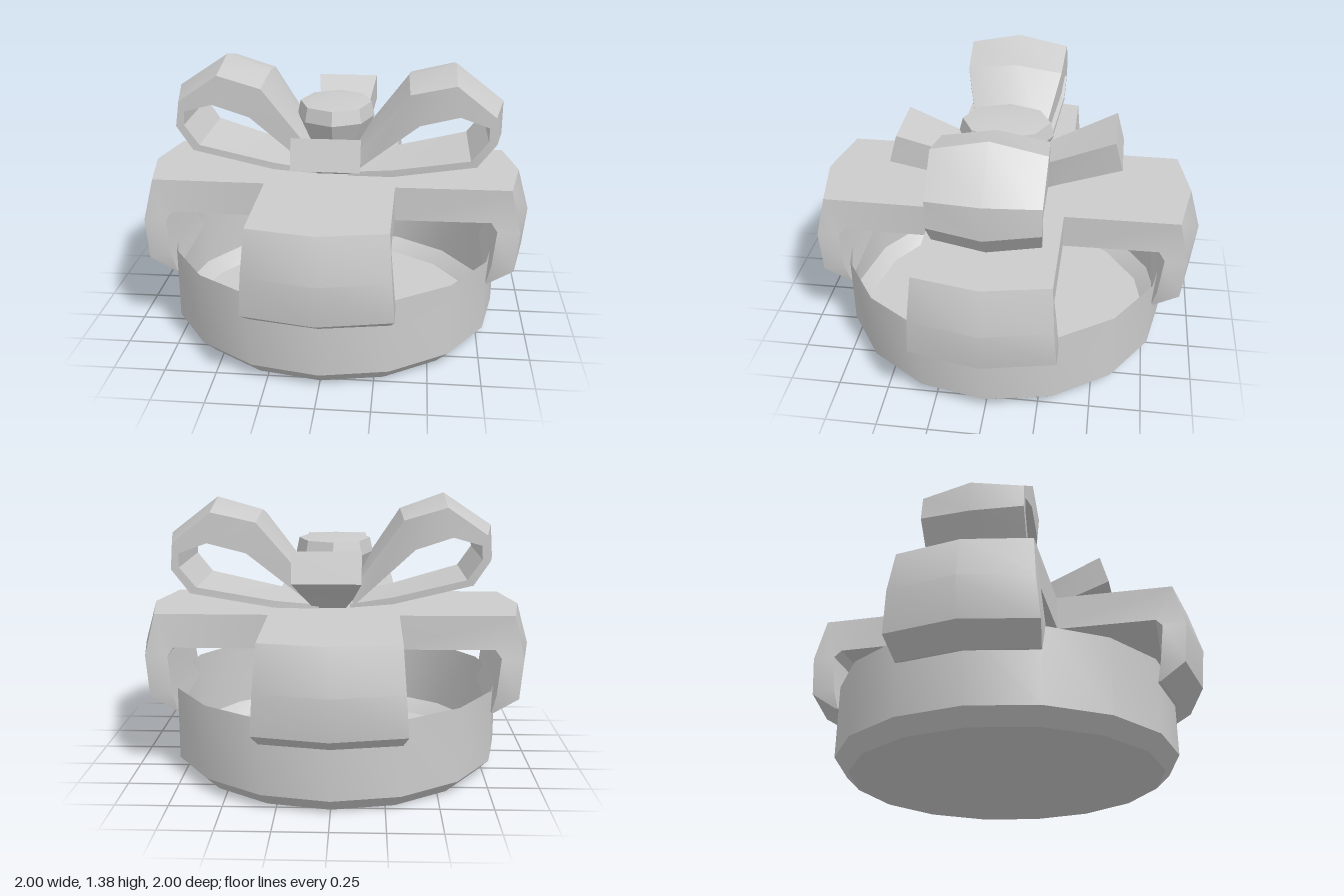
import * as THREE from 'three';
import { toCreasedNormals } from 'three/addons/utils/BufferGeometryUtils.js';

const material = new THREE.MeshStandardMaterial({ color: 0xcccccc, side: THREE.DoubleSide });

// Solid strap swept through stations [edgeX, edgeY, crownX, crownY, innerX, innerY, halfWidth]
function strap(stations) {
  const pos = [], index = [];
  for (const [ex, ey, cx, cy, ix, iy, w] of stations) {
    pos.push(ex, ey, w, cx, cy, 0, ex, ey, -w, ix, iy, -w, ix, iy, w);
  }
  const n = 5, last = (stations.length - 1) * n;
  for (let s = 0; s < last; s += n) {
    for (let i = 0; i < n; i++) {
      const j = (i + 1) % n;
      index.push(s + i, s + n + i, s + n + j, s + i, s + n + j, s + j);
    }
  }
  for (let i = 1; i < n - 1; i++) {
    index.push(0, i, i + 1, last, last + i + 1, last + i);
  }
  const geo = new THREE.BufferGeometry();
  geo.setAttribute('position', new THREE.Float32BufferAttribute(pos, 3));
  geo.setIndex(index);
  return toCreasedNormals(geo, 0.45);
}

function lathe(profile, sides, crease) {
  const points = profile.map(([r, y]) => new THREE.Vector2(r, y));
  return toCreasedNormals(new THREE.LatheGeometry(points, sides), crease);
}

export function createModel() {
  const model = new THREE.Group();
  const add = (name, geometry) => {
    const mesh = new THREE.Mesh(geometry, material);
    mesh.name = name;
    model.add(mesh);
    return mesh;
  };

  // Open round tub with a bevelled foot
  add('tub', lathe([[0, 0], [0.77, 0], [0.84, 0.07], [0.84, 0.435]], 16, 0.6));

  // Crossed wide ribbon: flat centre and four folded arms
  add('ribbonCentre', new THREE.BoxGeometry(0.64, 0.17, 0.64)).position.y = 0.725;
  const arm = strap([
    [0.32, 0.81, 0.32, 0.81, 0.32, 0.64, 0.32],
    [0.88, 0.81, 0.94, 0.81, 0.79, 0.64, 0.315],
    [0.93, 0.6, 1.0, 0.6, 0.82, 0.6, 0.33],
    [0.91, 0.4, 0.98, 0.4, 0.8, 0.42, 0.345],
    [0.79, 0.32, 0.85, 0.32, 0.78, 0.32, 0.325],
  ]);
  for (let k = 0; k < 4; k++) add('ribbonArm', arm).rotation.y = k * Math.PI / 2;

  // Two bow loops, heights measured from the ribbon top
  const loop = strap([
    [0.08, 0.08, 0.08, 0.11, 0.1, 0.01, 0.17],
    [0.17, 0.18, 0.17, 0.22, 0.21, 0.1, 0.18],
    [0.38, 0.44, 0.37, 0.48, 0.43, 0.29, 0.25],
    [0.6, 0.49, 0.6, 0.545, 0.62, 0.34, 0.26],
    [0.79, 0.34, 0.84, 0.36, 0.76, 0.29, 0.255],
    [0.8, 0.21, 0.84, 0.19, 0.76, 0.22, 0.255],
    [0.71, 0.09, 0.73, 0.055, 0.68, 0.12, 0.25],
    [0.3, 0.01, 0.3, 0, 0.3, 0.045, 0.2],
    [0.08, 0, 0.08, 0, 0.08, 0.02, 0.17],
  ]);
  const leftLoop = add('leftBowLoop', loop);
  leftLoop.position.y = 0.81;
  const rightLoop = add('rightBowLoop', loop);
  rightLoop.position.y = 0.81;
  rightLoop.rotation.set(0, Math.PI, 0.07);
  rightLoop.scale.set(0.97, 0.97, 0.97);

  // Short flared tails in front and behind
  const tail = (name, tipX, tipY, yaw, shift) => {
    const mesh = add(name, strap([
      [0.05, 0.94, 0.05, 0.94, 0.15, 0.81, 0.08],
      [0.24, 1.01, 0.24, 1.01, 0.27, 0.88, 0.12],
      [tipX, tipY, tipX, tipY, tipX + 0.04, tipY - 0.145, 0.16],
    ]));
    mesh.rotation.y = yaw;
    mesh.position.x = shift;
  };
  tail('frontTail', 0.525, 1.11, -Math.PI / 2, 0.005);
  tail('backTail', 0.545, 1.155, Math.PI / 2, 0.025);

  // Faceted knot
  const knot = add('knot', lathe(
    [[0, 0.81], [0.08, 0.81], [0.15, 0.97], [0.195, 1.08], [0.18, 1.15], [0, 1.17]], 8, 0.3));
  knot.scale.z = 1.22;
  knot.position.x = 0.005;

  return model;
}
